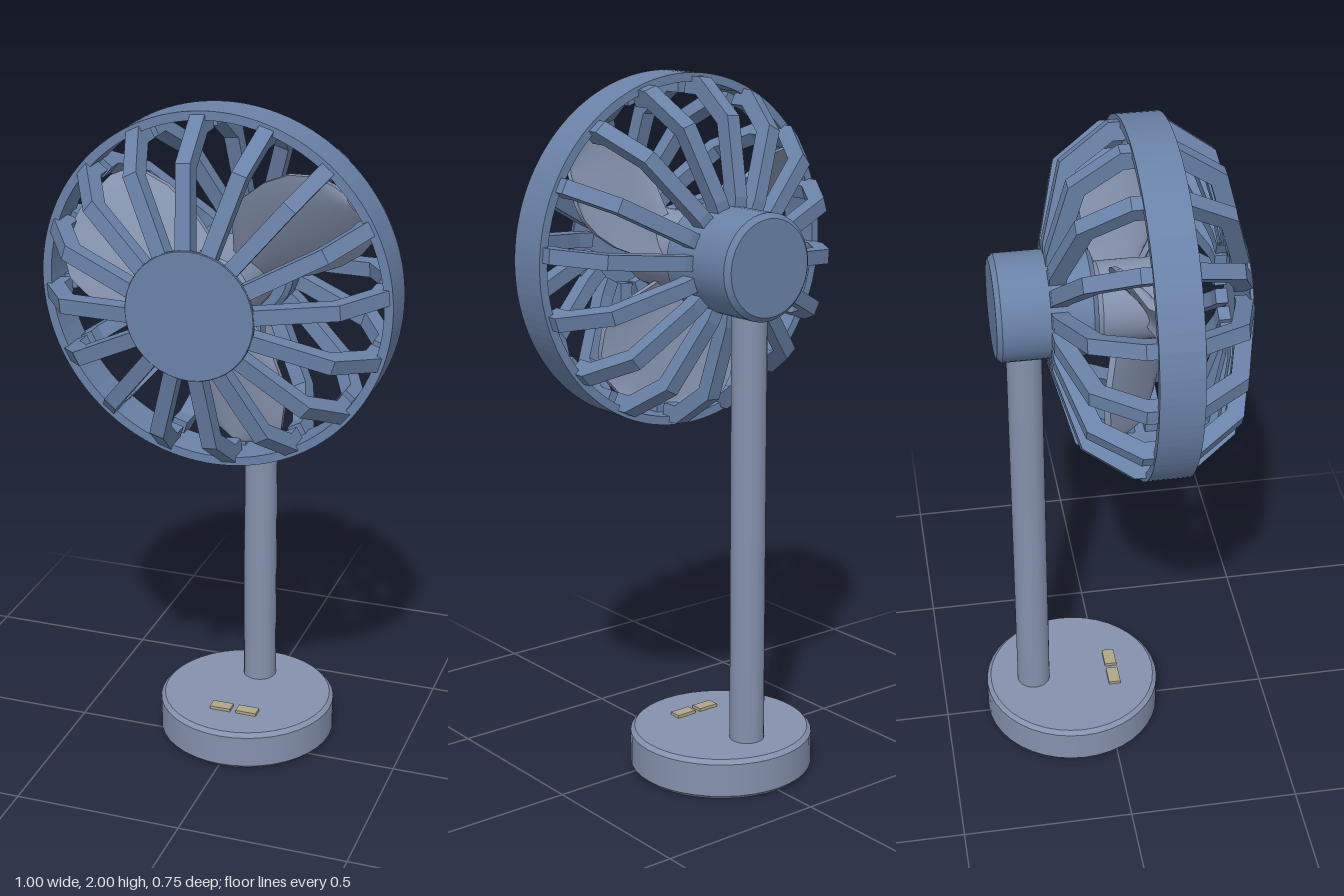
import * as THREE from 'three';

const cageMat = new THREE.MeshStandardMaterial({ color: 0x6a82a8 });
const bodyMat = new THREE.MeshStandardMaterial({ color: 0x8592ad });
const buttonMat = new THREE.MeshStandardMaterial({ color: 0xb0a688 });

function add(parent, name, geometry, material, x = 0, y = 0, z = 0) {
  const mesh = new THREE.Mesh(geometry, material);
  mesh.name = name;
  mesh.position.set(x, y, z);
  parent.add(mesh);
  return mesh;
}

// Solid disc with chamfered rims, from y = 0 to y = h; every section keeps its own normals
function chamferedCylinder(r, h, c, segments = 40) {
  const profile = [[0, 0], [r - c, 0], [r - c, 0], [r, c], [r, c], [r, h - c], [r, h - c], [r - c, h], [r - c, h], [0, h]];
  return new THREE.LatheGeometry(profile.map(([a, b]) => new THREE.Vector2(a, b)), segments);
}

// Bent bar of the guard, drawn as (radius, depth) and extruded to its width
function spokeGeometry() {
  const outline = [[0.13, 0.375], [0.13, 0.33], [0.18, 0.325], [0.37, 0.272], [0.44, 0.17], [0.44, 0.12],
    [0.49, 0.12], [0.49, 0.18], [0.395, 0.315], [0.18, 0.373]];
  const shape = new THREE.Shape(outline.map(([r, z]) => new THREE.Vector2(r, z)));
  const width = 0.042;
  const geo = new THREE.ExtrudeGeometry(shape, { depth: width, bevelEnabled: false });
  geo.translate(0, 0, -width / 2);
  geo.rotateX(Math.PI / 2); // radius along x, depth along z
  return geo;
}

// Pitched paddle: a subdivided slab whose rows follow a rounded outline
function bladeGeometry() {
  // radius, trailing edge, leading edge
  const rows = [[0.08, -0.05, 0.07], [0.15, -0.075, 0.16], [0.22, -0.095, 0.2], [0.29, -0.105, 0.21],
    [0.36, -0.1, 0.2], [0.41, -0.08, 0.165], [0.435, -0.05, 0.12], [0.445, 0, 0.08]];
  const geo = new THREE.BoxGeometry(1, 1, 1, rows.length - 1, 8, 1);
  const p = geo.attributes.position;
  for (let i = 0; i < p.count; i++) {
    const [r, u0, u1] = rows[Math.round((p.getX(i) + 0.5) * (rows.length - 1))];
    const t = p.getY(i);
    const u = THREE.MathUtils.lerp(u0, u1, t + 0.5);
    const camber = 0.025 * (1 - 4 * t * t);
    p.setXYZ(i, r, u, 0.09 + 0.65 * (u - 0.05) + camber + p.getZ(i) * 0.018);
  }
  geo.computeVertexNormals();
  return geo;
}

export function createModel() {
  const model = new THREE.Group();
  model.name = 'deskFan';

  // Stand
  add(model, 'base', chamferedCylinder(0.265, 0.12, 0.012), bodyMat, 0.004, 0, -0.105);
  add(model, 'pole', new THREE.CylinderGeometry(0.05, 0.05, 1.3, 20), bodyMat, 0.005, 0.76, -0.225);
  for (const x of [-0.036, 0.046]) {
    add(model, 'button', new THREE.BoxGeometry(0.064, 0.014, 0.036), buttonMat, x, 0.122, 0.02);
  }

  // Head, built around its own axis
  const head = new THREE.Group();
  head.name = 'head';
  head.position.y = 1.5;
  model.add(head);

  // Motor housing and rotor hub
  const motor = add(head, 'motorHousing', chamferedCylinder(0.149, 0.275, 0.014), cageMat, 0.006, 0.005, -0.31);
  motor.rotation.x = Math.PI / 2;
  const hub = add(head, 'rotorHub', chamferedCylinder(0.112, 0.25, 0.015), bodyMat, 0, 0, -0.035);
  hub.rotation.x = Math.PI / 2;

  // Blades
  const blade = bladeGeometry();
  for (let i = 0; i < 3; i++) {
    add(head, 'blade', blade, bodyMat).rotation.z = -Math.PI / 2 + (i * Math.PI * 2) / 3;
  }

  // Outer ring of the guard
  const ringShape = new THREE.Shape().absarc(0, 0, 0.5, 0, Math.PI * 2);
  ringShape.holes.push(new THREE.Path().absarc(0, 0, 0.475, 0, Math.PI * 2, true));
  const ring = new THREE.ExtrudeGeometry(ringShape, { depth: 0.12, bevelEnabled: false, curveSegments: 64 });
  add(head, 'guardRing', ring, cageMat, 0, 0, 0.06);

  // Front plate of the guard
  const plate = add(head, 'frontPlate', chamferedCylinder(0.18, 0.012, 0.002), cageMat, 0, 0, 0.364);
  plate.rotation.x = Math.PI / 2;

  // Guard spokes, front set and the matching rear set
  const spoke = spokeGeometry();
  for (let i = 0; i < 16; i++) {
    const angle = THREE.MathUtils.degToRad(5 + i * 22.5);
    add(head, 'frontSpoke', spoke, cageMat).rotation.z = angle;
    const rear = add(head, 'rearSpoke', spoke, cageMat, 0, 0, 0.21);
    rear.rotation.set(Math.PI, 0, -angle, 'XYZ');
  }
  return model;
}
